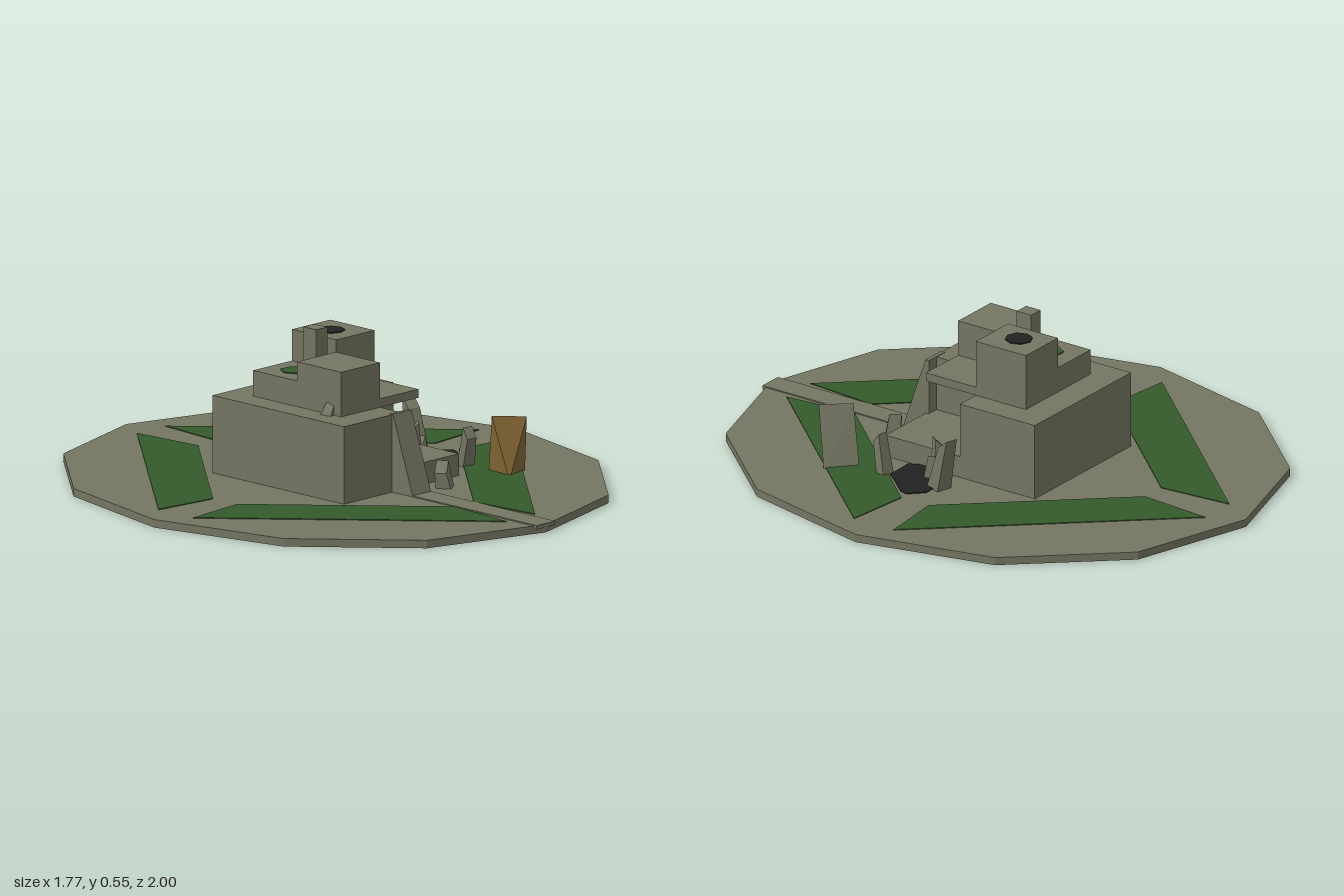
import * as THREE from 'three';
import { ConvexGeometry } from 'three/addons/geometries/ConvexGeometry.js';

export function createModel() {
  const root = new THREE.Group();
  const mat = (name, color) => {
    const m = new THREE.MeshStandardMaterial({ color, flatShading: true });
    m.name = name;
    return m;
  };
  const stone = mat('stone', 0x757563);
  const grass = mat('grass', 0x34592c);
  const black = mat('black', 0x222222);
  const ochre = mat('ochre', 0x876a36);

  const add = (name, geo, material) => {
    const mesh = new THREE.Mesh(geo, material);
    mesh.name = name;
    root.add(mesh);
    return mesh;
  };
  // Box given by its limits on each axis
  const block = (name, x0, x1, y0, y1, z0, z1, m = stone) =>
    add(name, new THREE.BoxGeometry(x1 - x0, y1 - y0, z1 - z0), m)
      .position.set((x0 + x1) / 2, (y0 + y1) / 2, (z0 + z1) / 2);
  // Thin flat plate from an x,z outline
  const plate = (name, pts, y, m) => {
    const shape = new THREE.Shape(pts.map(([x, z]) => new THREE.Vector2(x, -z)));
    const geo = new THREE.ExtrudeGeometry(shape, { depth: 0.003, bevelEnabled: false });
    geo.rotateX(-Math.PI / 2);
    add(name, geo, m).position.y = y;
  };
  const disc = (name, x, y, z, r, sides, m) =>
    add(name, new THREE.CylinderGeometry(r, r, 0.005, sides).rotateY(Math.PI / 2), m)
      .position.set(x, y, z);

  const G = 0.028; // ground level

  // Twelve-sided ground slab
  const ground = new THREE.CylinderGeometry(1, 1, G, 12);
  ground.scale(0.885, 1, 1);
  add('ground', ground, stone).position.y = G / 2;

  // Four lawns, mirrored about both axes
  for (const sx of [-1, 1]) for (const sz of [-1, 1]) {
    plate('lawn', [[0.07, 0.88], [0.78, 0.083], [0.54, 0.057], [0.047, 0.61]]
      .map(([x, z]) => [x * sx, z * sz]), G, grass);
  }

  // Path and steep ramp up to the terrace
  block('path', -0.045, 0.045, G - 0.01, G + 0.004, 0.40, 1.0);
  const side = new THREE.Shape([[0.30, G], [0.41, G], [0.315, 0.302], [0.30, 0.302]]
    .map(([z, y]) => new THREE.Vector2(-z, y)));
  const ramp = new THREE.ExtrudeGeometry(side, { depth: 0.09, bevelEnabled: false });
  ramp.rotateY(Math.PI / 2);
  add('ramp', ramp, stone).position.x = -0.045;

  // Lower storey, with one broken corner
  block('lowerBack', -0.28, 0.28, G, 0.30, -0.315, 0);
  block('lowerFront', -0.28, 0, G, 0.30, 0, 0.312);
  block('brokenCorner', 0, 0.28, G, 0.105, 0, 0.312);

  // Upper storey, each quarter at its own height
  block('upperFrontLeft', -0.19, 0, 0.30, 0.457, 0, 0.21);
  block('upperBackRight', 0, 0.187, 0.30, 0.50, -0.21, 0);
  block('upperBackLeft', -0.19, 0, 0.30, 0.39, -0.21, 0);
  block('overhangSlab', 0, 0.187, 0.30, 0.33, 0, 0.21);
  block('chimney', -0.075, -0.02, 0.39, 0.545, -0.083, -0.022);
  disc('roofGarden', -0.095, 0.391, -0.107, 0.048, 6, grass);
  disc('roofHole', 0.085, 0.501, -0.107, 0.048, 8, black);

  // Scorched crater
  plate('crater', [[0.28, 0.06], [0.35, 0.015], [0.46, 0.01], [0.51, 0.06], [0.50, 0.09],
    [0.43, 0.17], [0.41, 0.2], [0.30, 0.205], [0.28, 0.17]], G + 0.003, black);

  // Leaning shards: foot centre, head centre, width, depth, turn
  const shard = (foot, head, w, d, turn) => {
    const pts = [];
    for (const [c, s] of [[foot, 1], [head, 0.75]]) {
      for (const [i, j] of [[-1, -1], [-1, 1], [1, 1], [1, -1]]) {
        const x = i * w * s / 2, z = j * d * s / 2;
        pts.push(new THREE.Vector3(
          c[0] + x * Math.cos(turn) + z * Math.sin(turn),
          c[1] + (c === head ? i * 0.018 : 0),
          c[2] - x * Math.sin(turn) + z * Math.cos(turn)));
      }
    }
    add('rubble', new ConvexGeometry(pts), stone);
  };
  shard([0.135, 0.01, 0.39], [0.12, 0.10, 0.385], 0.055, 0.055, 0.6);
  shard([0.39, 0.02, 0.01], [0.40, 0.205, -0.035], 0.06, 0.06, 1.3);
  shard([0.33, 0.02, 0.055], [0.305, 0.15, 0.07], 0.045, 0.04, -0.6);
  shard([0.34, 0.02, 0.08], [0.335, 0.095, 0.07], 0.04, 0.04, 0.3);
  shard([0.40, 0.01, 0.225], [0.385, 0.15, 0.26], 0.035, 0.05, 1.4);
  shard([-0.20, 0.29, 0.155], [-0.195, 0.33, 0.16], 0.035, 0.045, 0.2);

  // Leaning roof fragment: weathered top, bare underside
  const t1 = [0.365, 0.235, 0.385], t2 = [0.443, 0.235, 0.475];
  const b1 = [0.405, 0.01, 0.33], b2 = [0.495, 0.01, 0.415], c2 = [0.40, 0.01, 0.435];
  const faces = (name, tris, m) => {
    const geo = new THREE.BufferGeometry();
    geo.setAttribute('position', new THREE.Float32BufferAttribute(tris.flat(2), 3));
    geo.computeVertexNormals();
    add(name, geo, m);
  };
  faces('fragmentTop', [[t1, t2, b2], [t1, b2, b1]], stone);
  faces('fragmentUnderside', [[t1, c2, t2], [t1, b1, c2], [t2, c2, b2], [b1, b2, c2]], ochre);

  return root;
}
